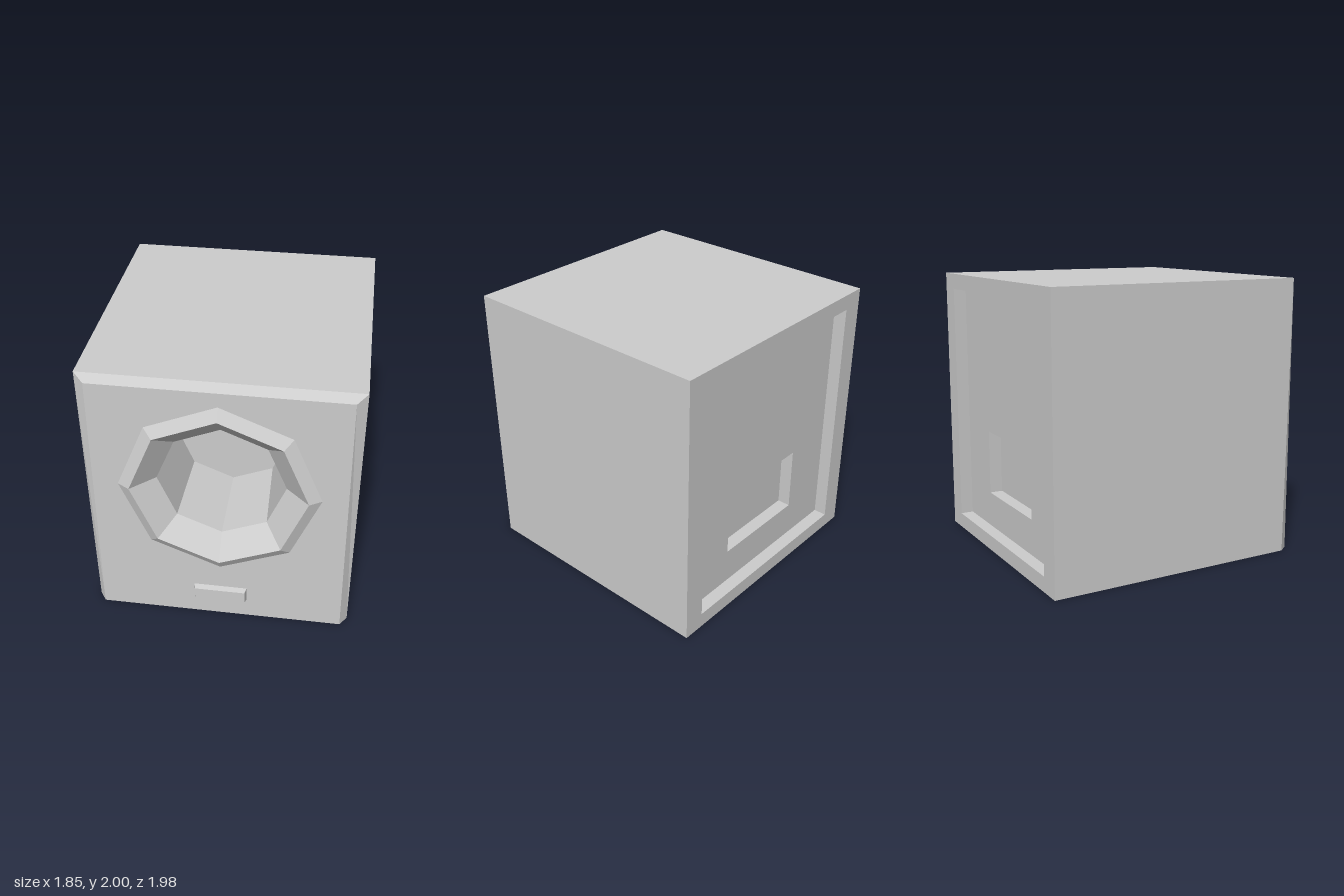
import * as THREE from 'three';

const grey = new THREE.MeshStandardMaterial({ color: 0xcccccc });
grey.name = 'cabinet grey';

// Joins equal-length loops of points with faceted bands; optionally closes the last loop.
function loft(name, loops, cap = false) {
  const pos = [];
  const tri = (a, b, c) => pos.push(...a, ...b, ...c);
  for (let k = 0; k + 1 < loops.length; k++) {
    const a = loops[k], b = loops[k + 1], n = a.length;
    for (let i = 0; i < n; i++) {
      const j = (i + 1) % n;
      tri(a[i], a[j], b[j]);
      tri(a[i], b[j], b[i]);
    }
  }
  if (cap) {
    const l = loops[loops.length - 1];
    for (let i = 1; i + 1 < l.length; i++) tri(l[0], l[i], l[i + 1]);
  }
  const geo = new THREE.BufferGeometry();
  geo.setAttribute('position', new THREE.Float32BufferAttribute(pos, 3));
  geo.computeVertexNormals();
  return named(name, geo);
}

function named(name, geo) {
  const mesh = new THREE.Mesh(geo, grey);
  mesh.name = name;
  return mesh;
}

// Rectangle loop, counterclockwise from the front; bottom and top may differ in width and depth.
const rect = (w0, w1, y0, y1, z0, z1 = z0) =>
  [[-w0, y0, z0], [w0, y0, z0], [w1, y1, z1], [-w1, y1, z1]];
const backRect = (w, y0, y1, z) => rect(w, w, y0, y1, z).reverse();

// Octagon loop around the driver axis
const DRIVER_Y = 1.157;
const octagon = (r, z) => Array.from({ length: 8 }, (_, i) => {
  const a = i * Math.PI / 4;
  return [r * Math.cos(a), DRIVER_Y + r * Math.sin(a), z];
});

export function createModel() {
  const model = new THREE.Group();
  model.name = 'speaker';

  // Cabinet walls with bevelled front edges
  const frontEdge = rect(0.875, 0.855, 0, 1.95, 0.94);
  model.add(loft('cabinet', [
    rect(0.925, 0.925, 0, 2, -0.99),
    rect(0.925, 0.925, 0, 2, 0.87, 0.89),
    frontEdge,
  ]));

  // Front panel, cut out for the driver
  const toVec = ([x, y]) => new THREE.Vector2(x, y);
  const panel = new THREE.Shape(frontEdge.map(toVec));
  panel.holes.push(new THREE.Path(octagon(0.69, 0).map(toVec)));
  const panelGeo = new THREE.ShapeGeometry(panel);
  panelGeo.translate(0, 0, 0.94);
  model.add(named('frontPanel', panelGeo));

  // Raised driver rim, funnel and deep cavity
  model.add(loft('driverRim', [octagon(0.69, 0.94), octagon(0.605, 0.99)]));
  model.add(loft('driverFunnel', [octagon(0.605, 0.99), octagon(0.445, 0.84)]));
  model.add(loft('driverCavity', [octagon(0.445, 0.84), octagon(0.415, 0.27)], true));

  // Small raised plate below the driver
  model.add(loft('frontPlate', [
    rect(0.19, 0.19, 0.157, 0.272, 0.94),
    rect(0.18, 0.18, 0.167, 0.262, 0.98),
  ], true));

  // Back frame, recessed panel and connector pocket
  model.add(loft('backPanel', [
    backRect(0.925, 0, 2, -0.99),
    backRect(0.767, 0.11, 1.887, -0.99),
    backRect(0.767, 0.11, 1.887, -0.895),
    backRect(0.375, 0.37, 0.845, -0.895),
  ]));
  model.add(loft('connectorPocket', [
    backRect(0.375, 0.37, 0.845, -0.895),
    backRect(0.375, 0.37, 0.845, -0.8),
  ], true));

  // Underside is closed by the cabinet walls
  return model;
}
